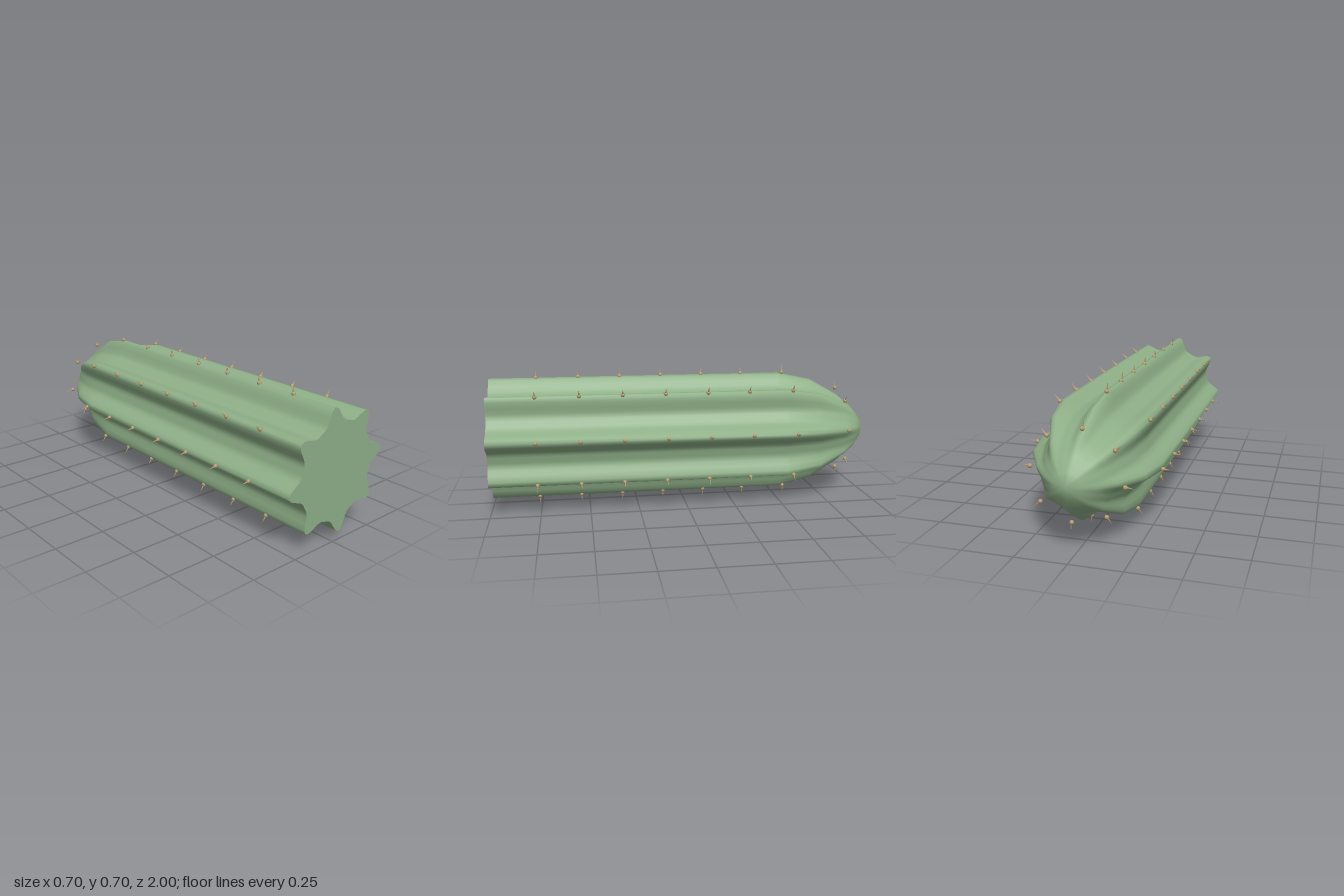
import * as THREE from 'three';

const CENTER_Y = 0.352, RIBS = 8, SEGMENTS = 96;
const PHASE = THREE.MathUtils.degToRad(7.5);
const VALLEY = 0.235, RIB = 0.076;       // valley radius and rib height
const CAP_START = -0.53, CAP_LENGTH = 0.47;

// Ribbed outline radius; ribs fade towards the tip faster than the core shrinks
function radius(angle, shrink) {
  const wave = (1 + Math.cos(RIBS * (angle - PHASE))) / 2;
  return VALLEY * shrink + RIB * Math.pow(wave, 2.4) * Math.pow(shrink, 4);
}

function stemGeometry() {
  // Rows along the stem: straight run, then an elliptical dome
  const rows = [[1, 1]];
  for (const deg of [0, 22.5, 45, 60, 75]) {
    const t = THREE.MathUtils.degToRad(deg);
    rows.push([CAP_START - CAP_LENGTH * Math.sin(t), Math.cos(t)]);
  }
  const pos = [], index = [];
  for (const [z, shrink] of rows) {
    for (let i = 0; i < SEGMENTS; i++) {
      const a = PHASE + (i / SEGMENTS) * Math.PI * 2;
      const r = radius(a, shrink);
      pos.push(r * Math.cos(a), r * Math.sin(a), z);
    }
  }
  const tip = pos.length / 3;
  pos.push(0, 0, -1);
  for (let j = 0; j < rows.length; j++) {
    for (let i = 0; i < SEGMENTS; i++) {
      const n = (i + 1) % SEGMENTS;
      const a = j * SEGMENTS + i, b = j * SEGMENTS + n;
      if (j === rows.length - 1) index.push(a, tip, b);
      else index.push(a, a + SEGMENTS, b, b, a + SEGMENTS, b + SEGMENTS);
    }
  }
  const geo = new THREE.BufferGeometry();
  geo.setAttribute('position', new THREE.Float32BufferAttribute(pos, 3));
  geo.setIndex(index);
  geo.computeVertexNormals();
  return geo;
}

function cutFaceGeometry() {
  const points = [];
  for (let i = 0; i < SEGMENTS; i++) {
    const a = PHASE + (i / SEGMENTS) * Math.PI * 2;
    const r = radius(a, 1);
    points.push(new THREE.Vector2(r * Math.cos(a), r * Math.sin(a)));
  }
  return new THREE.ShapeGeometry(new THREE.Shape(points));
}

export function createModel() {
  const model = new THREE.Group();
  model.name = 'cactusStem';
  const green = new THREE.MeshStandardMaterial({ color: 0x8fb088 });
  const tan = new THREE.MeshStandardMaterial({ color: 0xb59d72 });

  // Ribbed stem and its flat cut end
  const stem = new THREE.Mesh(stemGeometry(), green);
  stem.name = 'ribbedStem';
  stem.position.y = CENTER_Y;
  const cut = new THREE.Mesh(cutFaceGeometry(), green);
  cut.name = 'cutEnd';
  cut.position.set(0, CENTER_Y, 1);
  model.add(stem, cut);

  // Spines: a small bead with a thin thorn, in rows along every rib
  const bead = new THREE.SphereGeometry(0.011, 8, 6);
  const thorn = new THREE.ConeGeometry(0.006, 0.04, 5).translate(0, 0.02, 0);
  const stations = [0.76, 0.543, 0.326, 0.109, -0.109, -0.326, -0.556, -0.86];
  for (let k = 0; k < RIBS; k++) {
    const row = new THREE.Group();
    row.name = `spineRow${k + 1}`;
    row.position.y = CENTER_Y;
    row.rotation.z = PHASE + (k * Math.PI * 2) / RIBS - Math.PI / 2;
    for (const z of stations) {
      const spine = new THREE.Group();
      spine.name = 'spine';
      const beadMesh = new THREE.Mesh(bead, tan);
      beadMesh.name = 'spineBead';
      const thornMesh = new THREE.Mesh(thorn, tan);
      thornMesh.name = 'thorn';
      spine.add(beadMesh, thornMesh);
      spine.position.set(0, z < -0.8 ? 0.219 : 0.311, z);
      row.add(spine);
    }
    model.add(row);
  }
  return model;
}
